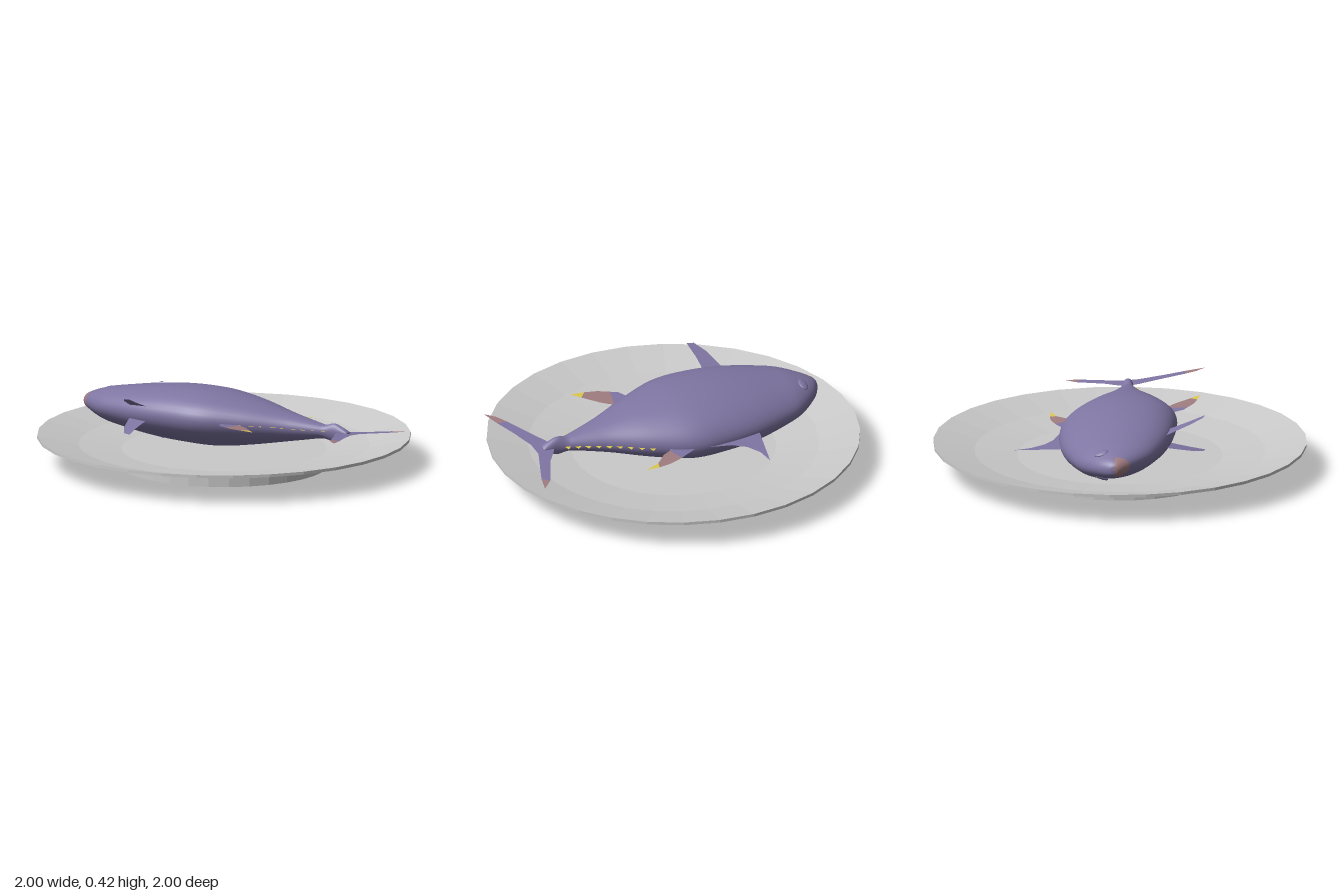
import * as THREE from 'three';

const TILT = 0.11; // the fish rests slightly rolled on its side
const planeY = z => 0.255 + TILT * z;

// body sections: x, zMin, zMax, yMin, yMax
const SECTIONS = [
  [-0.855, 0.015, 0.017, 0.254, 0.256],
  [-0.845, -0.02, 0.05, 0.225, 0.285],
  [-0.8, -0.085, 0.1, 0.2, 0.312],
  [-0.7, -0.17, 0.185, 0.165, 0.345],
  [-0.6, -0.22, 0.235, 0.145, 0.365],
  [-0.4, -0.285, 0.29, 0.115, 0.397],
  [-0.2, -0.314, 0.31, 0.1, 0.414],
  [0, -0.31, 0.302, 0.1, 0.41],
  [0.2, -0.232, 0.225, 0.13, 0.38],
  [0.4, -0.127, 0.13, 0.17, 0.336],
  [0.5, -0.085, 0.09, 0.19, 0.315],
  [0.6, -0.05, 0.055, 0.21, 0.295],
  [0.64, -0.037, 0.042, 0.212, 0.29],
  [0.69, -0.028, 0.03, 0.202, 0.302],
  [0.74, -0.026, 0.026, 0.222, 0.285],
  [0.775, -0.022, 0.022, 0.242, 0.266],
  [0.78, -0.002, 0.002, 0.253, 0.257],
];

// body edge at x on the given side (-1 back, +1 belly)
function bodyEdge(x, side) {
  const i = SECTIONS.findIndex(s => s[0] > x);
  const a = SECTIONS[i - 1], b = SECTIONS[i], k = side < 0 ? 1 : 2;
  return THREE.MathUtils.lerp(a[k], b[k], (x - a[0]) / (b[0] - a[0]));
}

// smooth loft; group 0 is the skin, group 1 the lower jaw
function bodyGeometry() {
  const spline = (lo, hi) => new THREE.CatmullRomCurve3(
    SECTIONS.map(s => new THREE.Vector3(s[0], (s[lo] + s[hi]) / 2, (s[hi] - s[lo]) / 2)), false, 'catmullrom');
  const zs = spline(1, 2), ys = spline(3, 4);
  const rings = (SECTIONS.length - 1) * 6, n = 48;
  const pos = [], skin = [], jaw = [];
  for (let i = 0; i <= rings; i++) {
    const p = zs.getPoint(i / rings), q = ys.getPoint(i / rings);
    for (let j = 0; j < n; j++) {
      const a = j / n * Math.PI * 2;
      const dz = Math.max(p.z, 0.001) * Math.cos(a);
      pos.push(p.x, q.y + Math.max(q.z, 0.001) * Math.sin(a) + TILT * dz, p.y + dz);
    }
  }
  for (let i = 0; i < rings; i++) for (let j = 0; j < n; j++) {
    const k = (j + 1) % n;
    const a = i * n + j, b = a + n, c = i * n + k, d = c + n;
    const isJaw = pos[b * 3] < -0.79 && (pos[a * 3 + 2] + pos[d * 3 + 2]) / 2 > 0.018;
    (isJaw ? jaw : skin).push(a, b, c, c, b, d);
  }
  const g = new THREE.BufferGeometry();
  g.setAttribute('position', new THREE.Float32BufferAttribute(pos, 3));
  g.setIndex([...skin, ...jaw]);
  g.addGroup(0, skin.length, 0);
  g.addGroup(skin.length, jaw.length, 1);
  g.computeVertexNormals();
  return g;
}

// flat fin drawn in x and z, lifted to a height given by a rule
function finGeometry(points, height = planeY) {
  const g = new THREE.ShapeGeometry(new THREE.Shape(points.map(p => new THREE.Vector2(p[0], -p[1]))));
  const p = g.attributes.position;
  for (let i = 0; i < p.count; i++) {
    const x = p.getX(i), z = -p.getY(i);
    p.setXYZ(i, x, height(z, x), z);
  }
  g.computeVertexNormals();
  return g;
}

export function createModel() {
  const model = new THREE.Group();
  const material = (name, color) => {
    const m = new THREE.MeshStandardMaterial({ color, side: THREE.DoubleSide });
    m.name = name;
    return m;
  };
  const purple = material('purple skin', 0x7f76a3);
  const pink = material('dusky pink', 0xa07c80);
  const yellow = material('yellow fin', 0xdcc84c);
  const grey = material('grey plate', 0xcacaca);

  const add = (name, geometry, mat, parent = model) => {
    const m = new THREE.Mesh(geometry, mat);
    m.name = name;
    parent.add(m);
    return m;
  };

  // plate with a hollow foot ring
  const profile = [[0, 0.045], [0.47, 0.045], [0.47, 0], [0.565, 0], [0.565, 0.06], [1, 0.147],
    [1, 0.163], [0.78, 0.112], [0.55, 0.085], [0, 0.085]].map(p => new THREE.Vector2(...p));
  const plate = new THREE.LatheGeometry(profile, 32).toNonIndexed();
  plate.computeVertexNormals();
  add('plate', plate, grey);

  const fish = new THREE.Group();
  fish.name = 'fish';
  model.add(fish);
  const fin = (name, points, mat, height) => add(name, finGeometry(points, height), mat, fish);

  add('body', bodyGeometry(), [purple, pink], fish);

  // eyes, slightly proud of each cheek
  for (const s of [1, -1]) {
    const eye = add(s > 0 ? 'upperEye' : 'lowerEye', new THREE.SphereGeometry(1, 24, 12), purple, fish);
    eye.scale.set(0.027, 0.01, 0.04);
    eye.position.set(-0.74, 0.249 + s * 0.067, -0.06);
    eye.rotation.set(-s * 0.32, 0, s * 0.3);
  }

  // first dorsal fin
  fin('dorsalFin', [[-0.37, -0.26], [-0.37, -0.3], [-0.345, -0.4], [-0.31, -0.55], [-0.295, -0.46],
    [-0.25, -0.39], [-0.18, -0.345], [-0.05, -0.315], [0, -0.27]], purple);

  // second dorsal fin: base, middle and tip
  fin('rearDorsalBase', [[0, -0.28], [0.02, -0.305], [0.12, -0.355], [0.15, -0.27], [0.13, -0.22]], purple);
  fin('rearDorsalMiddle', [[0.12, -0.355], [0.2, -0.383], [0.27, -0.392], [0.26, -0.355], [0.2, -0.295], [0.15, -0.27]], pink);
  fin('rearDorsalTip', [[0.27, -0.392], [0.35, -0.39], [0.26, -0.355]], yellow);

  // anal fin: base, middle and tip
  fin('analBase', [[0.11, 0.2], [0.13, 0.26], [0.17, 0.33], [0.21, 0.35], [0.235, 0.24], [0.24, 0.18]], purple);
  fin('analMiddle', [[0.21, 0.35], [0.27, 0.38], [0.34, 0.395], [0.375, 0.355], [0.3, 0.275], [0.235, 0.225]], pink);
  fin('analTip', [[0.34, 0.395], [0.42, 0.405], [0.375, 0.355]], yellow);

  // paired pelvic fins, one spread up and one spread down
  const pelvic = [[-0.42, 0.26], [-0.42, 0.29], [-0.385, 0.4], [-0.345, 0.465], [-0.305, 0.475], [-0.315, 0.38], [-0.315, 0.26]];
  fin('upperPelvicFin', pelvic, purple, z => 0.33 + (z - 0.28) * 0.4);
  fin('lowerPelvicFin', pelvic, purple, z => 0.255 - (z - 0.28) * 0.2);

  // pectoral fins, nearly flush with the flanks
  const pectoral = [[-0.405, -0.005], [-0.385, 0.005], [-0.355, 0.025], [-0.365, 0.032], [-0.39, 0.018]];
  fin('upperPectoralFin', pectoral, purple, (z, x) => 0.409 + (x + 0.38) * 0.15);
  fin('lowerPectoralFin', pectoral, purple, (z, x) => 0.106 - (x + 0.38) * 0.15);

  // rows of finlets along both edges
  for (const s of [-1, 1]) for (let i = 0; i < 9; i++) {
    const x = 0.2 + i * 0.052, inner = k => bodyEdge(k, s) - s * 0.012;
    fin('finlet', [[x, inner(x)], [x + 0.034, bodyEdge(x + 0.034, s) + s * 0.026], [x + 0.048, inner(x + 0.048)]], yellow);
  }

  // forked tail with pink tips
  fin('tailFin', [[0.71, 0], [0.73, -0.045], [0.79, -0.125], [0.87, -0.29], [0.908, -0.26], [0.86, -0.14], [0.82, -0.04],
    [0.82, 0.05], [0.86, 0.19], [0.9, 0.3], [0.845, 0.3], [0.78, 0.16], [0.73, 0.06]], purple);
  fin('backTailTip', [[0.87, -0.29], [0.93, -0.35], [0.908, -0.26]], pink);
  fin('bellyTailTip', [[0.845, 0.3], [0.88, 0.36], [0.93, 0.405], [0.9, 0.3]], pink);

  return model;
}
